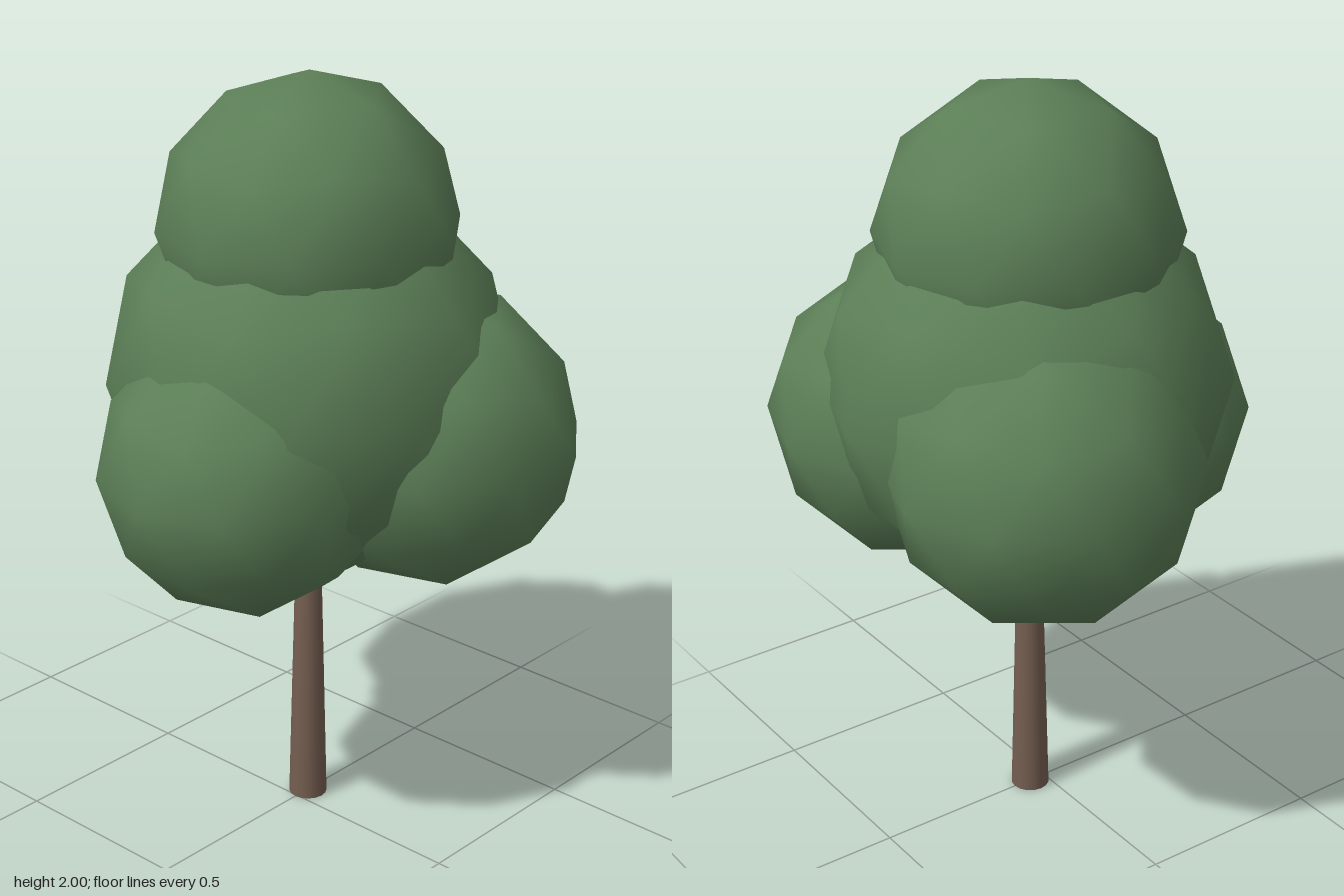
import * as THREE from 'three';

const leafMaterial = new THREE.MeshStandardMaterial({ name: 'leaf green', color: 0x5c7f57 });
const barkMaterial = new THREE.MeshStandardMaterial({ name: 'bark brown', color: 0x765f51 });

// Low-poly ball with smooth normals, turned so that one corner points straight up
function leafBall(name, radius, x, y, z) {
  const geometry = new THREE.IcosahedronGeometry(radius, 1);
  geometry.rotateZ(-Math.atan(2 / (1 + Math.sqrt(5))));
  const ball = new THREE.Mesh(geometry, leafMaterial);
  ball.name = name;
  ball.position.set(x, y, z);
  return ball;
}

export function createModel() {
  const tree = new THREE.Group();
  tree.name = 'tree';

  // Tapered trunk, closed at both ends, reaching up into the crown
  const profile = [[0, 0], [0.051, 0], [0.022, 1.2], [0, 1.2]].map(([r, y]) => new THREE.Vector2(r, y));
  const trunk = new THREE.Mesh(new THREE.LatheGeometry(profile, 16), barkMaterial);
  trunk.name = 'trunk';
  trunk.position.z = -0.045;
  tree.add(trunk);

  // Crown: two stacked balls with three lower ones around them
  const crown = new THREE.Group();
  crown.name = 'crown';
  crown.add(
    leafBall('crownTop', 0.386, 0, 1.614, -0.045),
    leafBall('crownMiddle', 0.526, 0, 1.224, -0.057),
    leafBall('crownFront', 0.37, 0.03, 1.05, 0.225),
    leafBall('crownBackRight', 0.4, -0.255, 1.12, -0.182),
    leafBall('crownBackLeft', 0.39, 0.265, 1.082, -0.207),
  );
  tree.add(crown);
  return tree;
}
